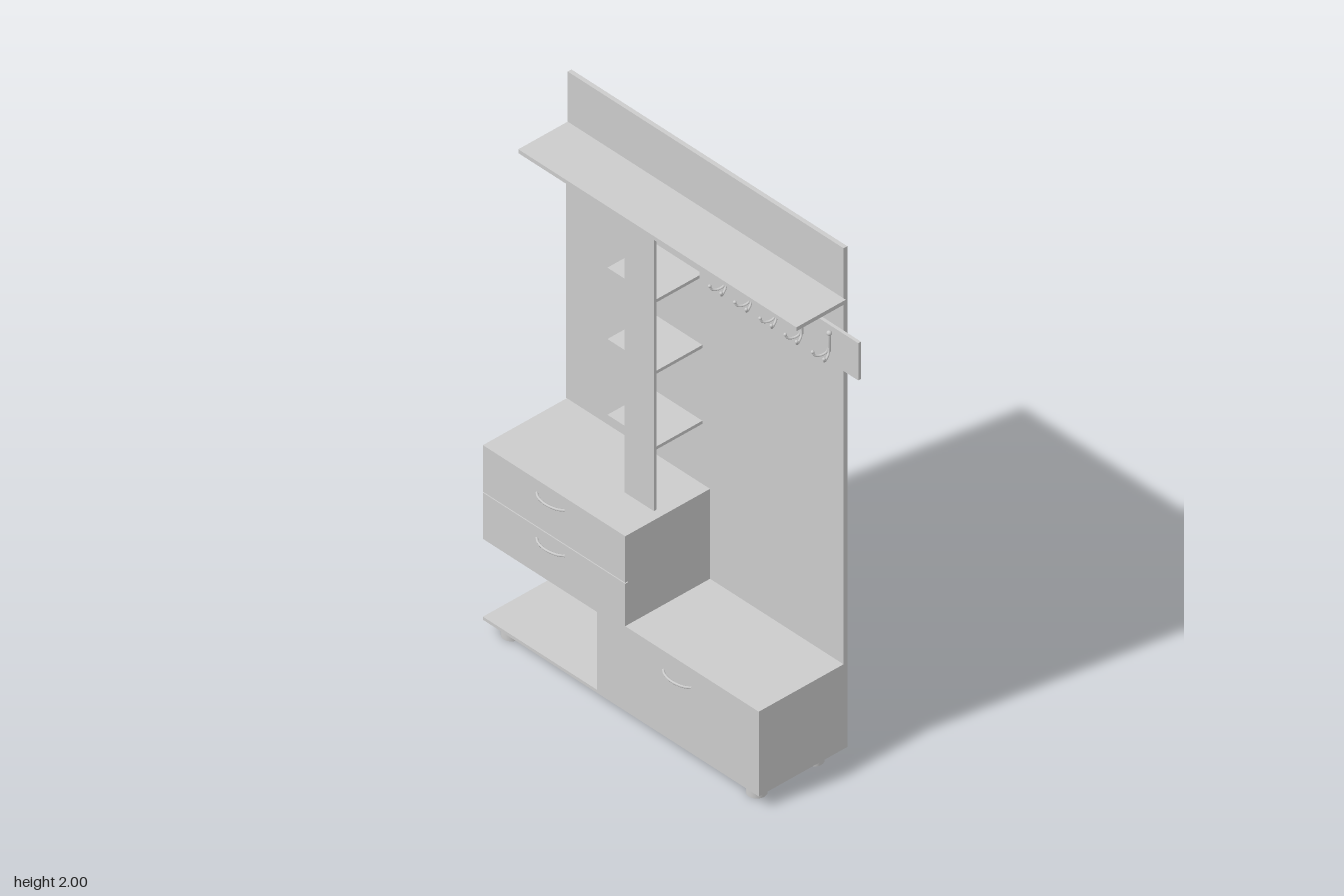
import * as THREE from 'three';

export function createModel() {
  const model = new THREE.Group();
  const mat = new THREE.MeshStandardMaterial({ color: 0xcccccc });

  const add = (name, geometry, parent = model) => {
    const mesh = new THREE.Mesh(geometry, mat);
    mesh.name = name;
    parent.add(mesh);
    return mesh;
  };
  // Board given by its lower and upper limits on each axis
  const board = (name, [x0, x1], [y0, y1], [z0, z1]) =>
    add(name, new THREE.BoxGeometry(x1 - x0, y1 - y0, z1 - z0))
      .position.set((x0 + x1) / 2, (y0 + y1) / 2, (z0 + z1) / 2);
  const tube = (name, points, radius, parent) => {
    const curve = new THREE.CatmullRomCurve3(points.map(p => new THREE.Vector3(...p)));
    return add(name, new THREE.TubeGeometry(curve, 20, radius, 8), parent);
  };

  const back = -0.187, front = 0.175;

  // Tall back, mirror, hat shelf
  board('backPanel', [-0.67, 0.59], [0.05, 2], [-0.203, back]);
  board('mirror', [-0.665, -0.28], [0.74, 1.785], [back, -0.174]);
  board('hatShelf', [-0.67, 0.6], [1.79, 1.805], [back, 0.024]);

  // Upright board with small shelves behind it
  board('uprightBoard', [-0.19, -0.055], [0.73, 1.79], [0.008, 0.02]);
  for (const y of [0.97, 1.265, 1.543])
    board('smallShelf', [-0.28, -0.055], [y - 0.006, y + 0.006], [back, 0.008]);

  // Upper drawer chest: carcass with two fronts and a fine gap
  board('drawerChest', [-0.67, -0.02], [0.365, 0.73], [back, front - 0.012]);
  board('lowerDrawerFront', [-0.67, -0.02], [0.365, 0.545], [front - 0.012, front]);
  board('upperDrawerFront', [-0.67, -0.02], [0.549, 0.73], [front - 0.012, front]);

  // Base with open niche and closed cabinet
  board('basePanel', [-0.67, 0.59], [0.05, 0.062], [back, front]);
  board('lowerCabinet', [-0.15, 0.59], [0.062, 0.38], [back, front]);

  // Bowed handles
  for (const [x, y] of [[-0.36, 0.68], [-0.36, 0.503], [0.218, 0.305]]) {
    const handle = tube('handle', [
      [-0.064, 0, 0], [-0.045, 0, 0.013], [0, 0, 0.022], [0.045, 0, 0.013], [0.064, 0, 0]
    ], 0.0045);
    handle.position.set(x, y, front);
  }

  // Feet
  for (const x of [-0.6, 0.52])
    for (const z of [-0.125, 0.118])
      add('foot', new THREE.CylinderGeometry(0.034, 0.034, 0.05, 32)).position.set(x, 0.025, z);

  // Coat rail with double hooks
  board('coatRail', [-0.055, 0.67], [1.535, 1.68], [back, -0.175]);
  for (const x of [0.075, 0.19, 0.305, 0.42, 0.545]) {
    const hook = new THREE.Group();
    hook.name = 'coatHook';
    hook.position.set(x, 1.57, -0.168);
    tube('hookStem', [[0, 0.088, 0], [0, 0.05, 0.001], [0, 0.015, 0.001]], 0.0055, hook);
    add('hookTop', new THREE.SphereGeometry(0.009, 12, 8), hook).position.set(0, 0.085, 0);
    for (const s of [-1, 1]) {
      tube('hookProng', [
        [0, 0.035, 0.001], [s * 0.005, 0.012, 0.008], [s * 0.013, 0.004, 0.025],
        [s * 0.022, 0.008, 0.042], [s * 0.026, 0.02, 0.047]
      ], 0.004, hook);
      add('prongTip', new THREE.SphereGeometry(0.006, 10, 8), hook)
        .position.set(s * 0.026, 0.021, 0.047);
    }
    model.add(hook);
  }
  return model;
}
